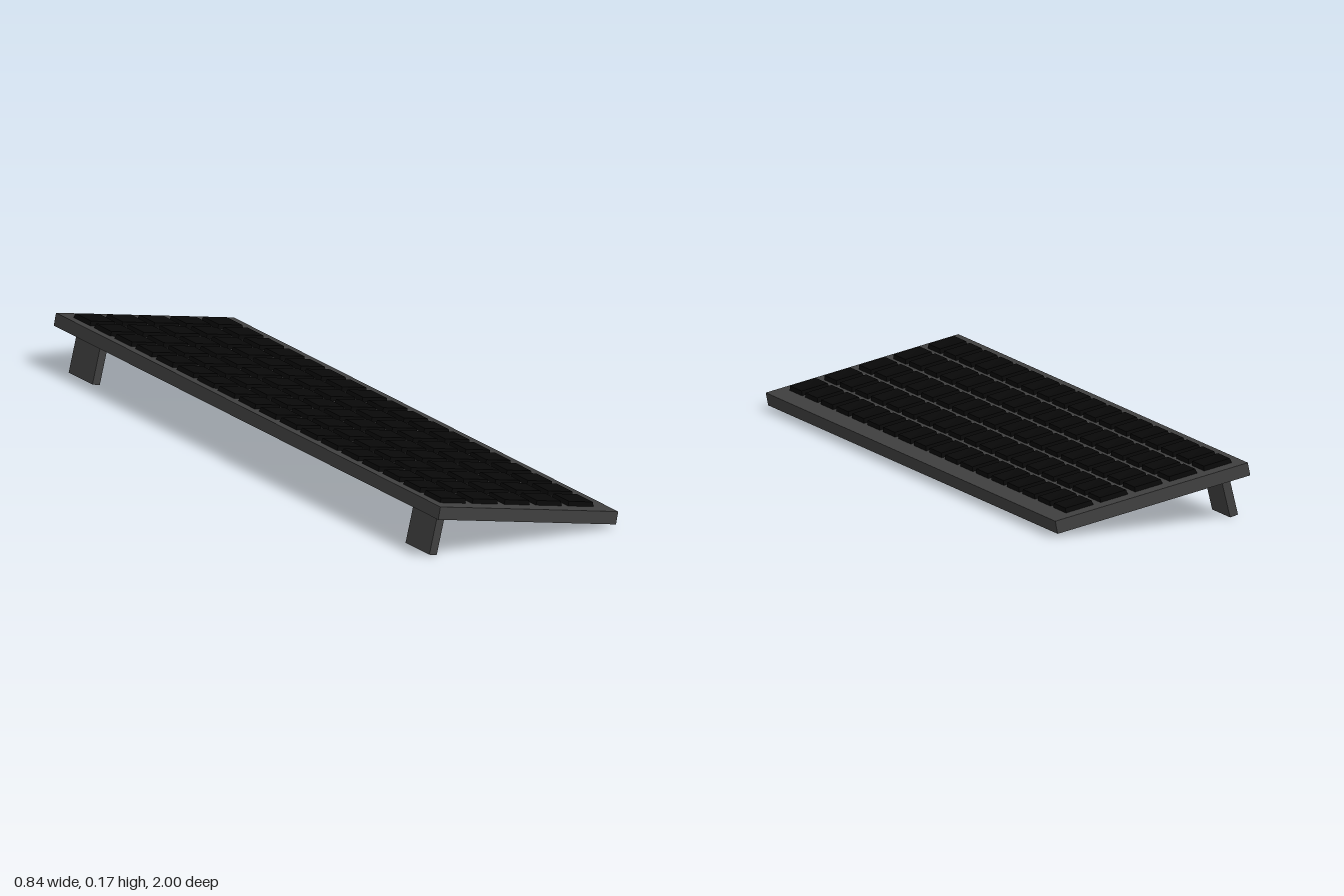
import * as THREE from 'three';

const YAW = -0.139, TILT = -0.2007, LEAN = -0.24;
const ROWS = 18, COLUMNS = 5, PITCH = 0.104;
const CASE = { width: 0.579, height: 0.036, length: 1.94 };

// Key cap: tapered block with a shallow dish in its top
function keyGeometry(size, height, topScale, dish) {
  const geometry = new THREE.BoxGeometry(size, height, size, 4, 1, 4);
  const p = geometry.attributes.position;
  for (let i = 0; i < p.count; i++) {
    if (p.getY(i) <= 0) continue;
    const x = p.getX(i) / (size / 2), z = p.getZ(i) / (size / 2);
    p.setXYZ(i, p.getX(i) * topScale, height / 2 - dish * (1 - x * x) * (1 - z * z), p.getZ(i) * topScale);
  }
  geometry.translate(0, height / 2, 0);
  geometry.computeVertexNormals();
  return geometry;
}

export function createModel() {
  const model = new THREE.Group();
  model.name = 'keyboard';
  const frameMaterial = new THREE.MeshStandardMaterial({ color: 0x404040 });
  const keyMaterial = new THREE.MeshStandardMaterial({ color: 0x080808 });

  // Everything is turned slightly about the vertical
  const turned = new THREE.Group();
  turned.name = 'turnedBody';
  turned.rotation.y = YAW;
  model.add(turned);

  // Sloping deck
  const deck = new THREE.Group();
  deck.name = 'deck';
  deck.position.y = 0.084;
  deck.rotation.z = TILT;
  turned.add(deck);

  const body = new THREE.Mesh(new THREE.BoxGeometry(CASE.width, CASE.height, CASE.length), frameMaterial);
  body.name = 'case';
  deck.add(body);

  // Grid of keys
  const keys = new THREE.Group();
  keys.name = 'keys';
  keys.position.set(-0.012, CASE.height / 2, 0);
  deck.add(keys);
  const cap = keyGeometry(0.083, 0.0125, 0.94, 0.002);
  for (let row = 0; row < ROWS; row++) {
    for (let column = 0; column < COLUMNS; column++) {
      const key = new THREE.Mesh(cap, keyMaterial);
      key.name = 'key';
      key.position.set((column - (COLUMNS - 1) / 2) * PITCH, 0, (row - (ROWS - 1) / 2) * PITCH);
      keys.add(key);
    }
  }

  // Two folding feet under the raised edge
  const footGeometry = new THREE.BoxGeometry(0.024, 0.124, 0.12).translate(0, 0.062, 0);
  for (const side of [-1, 1]) {
    const foot = new THREE.Mesh(footGeometry, frameMaterial);
    foot.name = side > 0 ? 'frontFoot' : 'backFoot';
    foot.position.set(-0.266, 0.003, side * 0.85);
    foot.rotation.z = LEAN;
    turned.add(foot);
  }
  return model;
}
